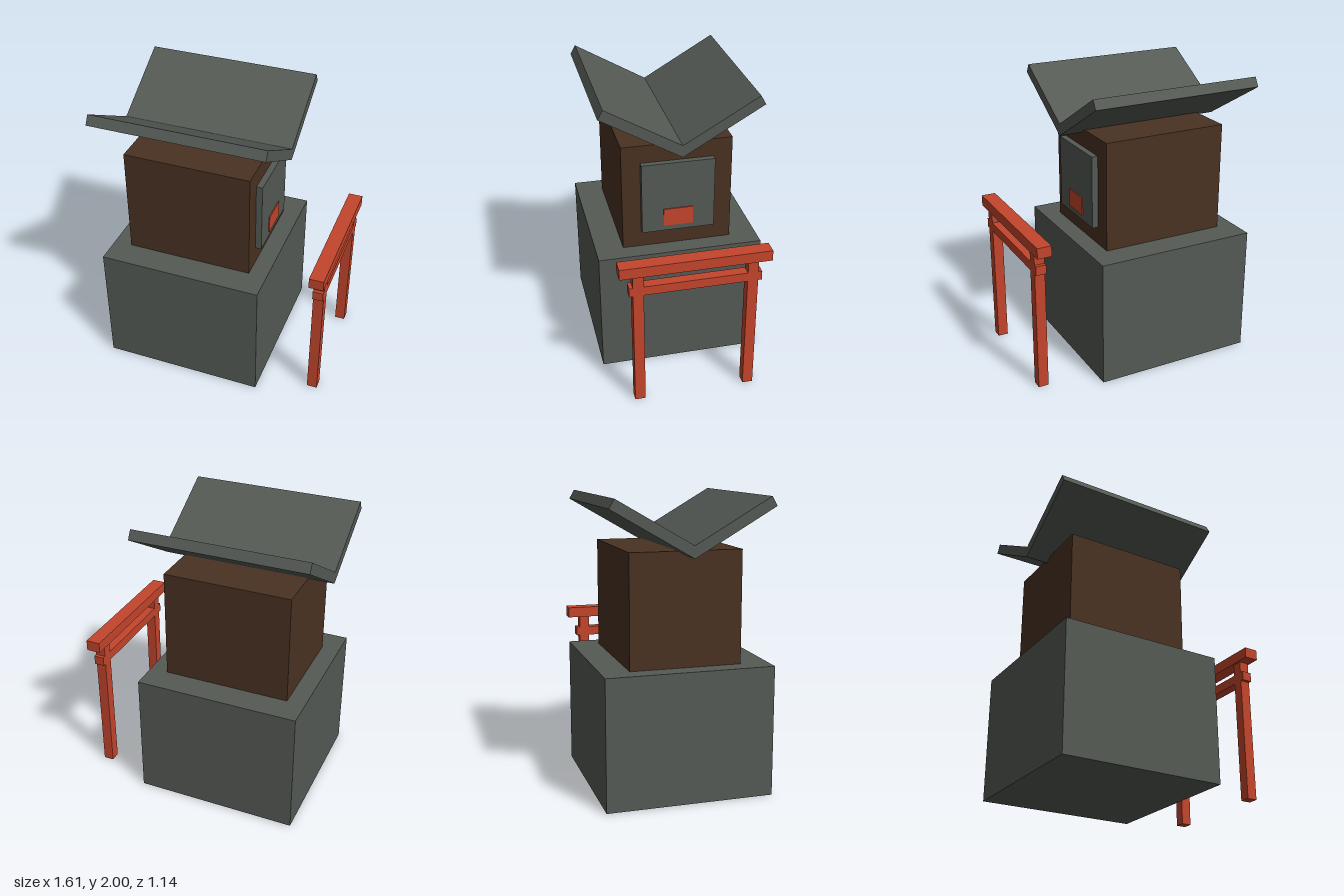
import * as THREE from 'three';

const stone = new THREE.MeshStandardMaterial({ color: 0x555a55 });
stone.name = 'stone grey';
const wood = new THREE.MeshStandardMaterial({ color: 0x4a3222 });
wood.name = 'dark wood';
const red = new THREE.MeshStandardMaterial({ color: 0xc4452c });
red.name = 'vermilion';

// Box given by its minimum and maximum corners
function box(name, material, [x0, y0, z0], [x1, y1, z1]) {
  const mesh = new THREE.Mesh(new THREE.BoxGeometry(x1 - x0, y1 - y0, z1 - z0), material);
  mesh.position.set((x0 + x1) / 2, (y0 + y1) / 2, (z0 + z1) / 2);
  mesh.name = name;
  return mesh;
}

// V-shaped roof: two slabs meeting in a valley, extruded along x
function createRoof() {
  const profile = new THREE.Shape([
    [0, 1.622], [0.545, 1.938], [0.51, 2], [0, 1.705], [-0.51, 2], [-0.545, 1.938],
  ].map(([z, y]) => new THREE.Vector2(z, y)));
  const geometry = new THREE.ExtrudeGeometry(profile, { depth: 1.205, bevelEnabled: false });
  geometry.rotateY(-Math.PI / 2);
  const roof = new THREE.Mesh(geometry, stone);
  roof.position.x = 0.4;
  roof.name = 'roof';
  return roof;
}

// Gate standing before the door
function createGate() {
  const gate = new THREE.Group();
  gate.name = 'gate';
  gate.add(
    box('topBeam', red, [0.7, 1.01, -0.508], [0.8, 1.085, 0.508]),
    box('tieBeam', red, [0.715, 0.862, -0.445], [0.787, 0.927, 0.445]),
  );
  for (const side of [-1, 1]) {
    const post = box('post', red, [0.715, 0, -0.036], [0.787, 1.01, 0.036]);
    post.position.z = side * 0.384;
    gate.add(post);
  }
  return gate;
}

export function createModel() {
  const model = new THREE.Group();
  model.name = 'shrine';
  model.add(
    box('base', stone, [-0.772, 0, -0.572], [0.37, 0.893, 0.572]),
    box('hall', wood, [-0.645, 0.893, -0.38], [0.243, 1.656, 0.38]),
    box('door', stone, [0.243, 1.02, -0.252], [0.286, 1.53, 0.252]),
    box('doorPlaque', red, [0.286, 1.06, -0.102], [0.293, 1.188, 0.102]),
    createRoof(),
    createGate(),
  );
  return model;
}
